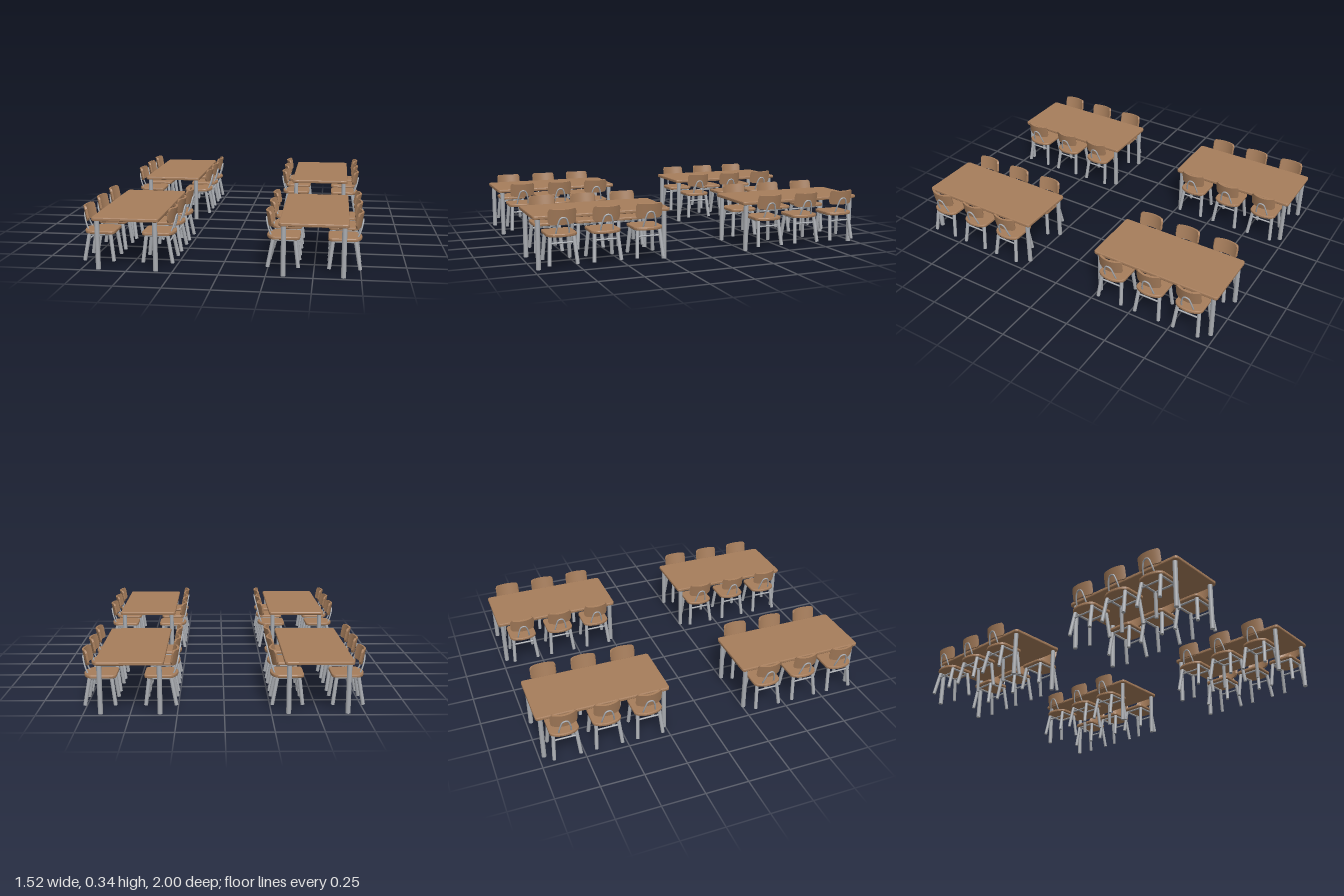
import * as THREE from 'three';

const wood = new THREE.MeshStandardMaterial({ color: 0xa67d5b });
wood.name = 'wood';
const metal = new THREE.MeshStandardMaterial({ color: 0xa8abb0 });
metal.name = 'metal';

function mesh(name, geometry, material) {
  const m = new THREE.Mesh(geometry, material);
  m.name = name;
  return m;
}

// straight round bar between two points
function bar(name, a, b, r) {
  const p = new THREE.Vector3(...a), q = new THREE.Vector3(...b);
  const d = q.clone().sub(p);
  const m = mesh(name, new THREE.CylinderGeometry(r, r, d.length(), 14), metal);
  m.position.copy(p).add(q).multiplyScalar(0.5);
  m.quaternion.setFromUnitVectors(new THREE.Vector3(0, 1, 0), d.normalize());
  return m;
}

// smooth bent tube through points
function tube(name, points, r) {
  const curve = new THREE.CatmullRomCurve3(points.map(p => new THREE.Vector3(...p)));
  return mesh(name, new THREE.TubeGeometry(curve, 28, r, 8), metal);
}

// horizontal plate with a softened rim, from an outline in x and z
function plate(name, shape, bottom, top, bevel) {
  const g = new THREE.ExtrudeGeometry(shape, {
    depth: top - bottom - 2 * bevel, bevelThickness: bevel, bevelSize: bevel,
    bevelOffset: -bevel, bevelSegments: 2, curveSegments: 10,
  });
  g.rotateX(-Math.PI / 2);
  g.translate(0, bottom + bevel, 0);
  return mesh(name, g, wood);
}

function tableOutline(hx, hz, r) {
  const s = new THREE.Shape();
  s.moveTo(-hx + r, -hz);
  s.lineTo(hx - r, -hz);
  s.quadraticCurveTo(hx, -hz, hx, -hz + r);
  s.lineTo(hx, hz - r);
  s.quadraticCurveTo(hx, hz, hx - r, hz);
  s.lineTo(-hx + r, hz);
  s.quadraticCurveTo(-hx, hz, -hx, hz - r);
  s.lineTo(-hx, -hz + r);
  s.quadraticCurveTo(-hx, -hz, -hx + r, -hz);
  return s;
}

// seat outline: bowed rear edge at -x, rounded front corners at +x
function seatOutline() {
  const s = new THREE.Shape();
  s.moveTo(-0.045, -0.083);
  s.lineTo(0.065, -0.083);
  s.quadraticCurveTo(0.0895, -0.083, 0.0895, -0.055);
  s.lineTo(0.0895, 0.055);
  s.quadraticCurveTo(0.0895, 0.083, 0.065, 0.083);
  s.lineTo(-0.045, 0.083);
  s.bezierCurveTo(-0.075, 0.08, -0.0895, 0.035, -0.0895, 0);
  s.bezierCurveTo(-0.0895, -0.035, -0.075, -0.08, -0.045, -0.083);
  return s;
}

// backrest: a plate with rounded corners, bent round an upright axis and tilted
function backrest() {
  const R = 0.1215, half = 0.078, h = 0.083, corner = 0.016;
  const g = new THREE.BoxGeometry(0.012, h, half * 2, 1, 4, 28);
  const p = g.attributes.position;
  for (let i = 0; i < p.count; i++) {
    const x = p.getX(i), z = p.getZ(i);
    const over = Math.max(0, Math.abs(z) - half + corner);
    const cut = corner - Math.sqrt(Math.max(0, corner * corner - over * over));
    const y = p.getY(i) * (1 - cut / (h / 2));
    p.setXYZ(i, R - (R - x) * Math.cos(z / R), y, (R - x) * Math.sin(z / R));
  }
  g.computeVertexNormals();
  const m = mesh('backrest', g, wood);
  m.rotation.z = 0.176;
  m.position.set(-0.0835, 0.291, 0);
  return m;
}

// chair facing +x
function makeChair() {
  const chair = new THREE.Group();
  chair.name = 'chair';
  chair.add(plate('seat', seatOutline(), 0.185, 0.203, 0.005), backrest());
  for (const s of [-1, 1]) {
    chair.add(bar('rearLeg', [-0.053, 0.188, s * 0.064], [-0.081, 0.035, s * 0.076], 0.0105));
    chair.add(bar('frontLeg', [0.063, 0.188, s * 0.064], [0.082, 0.035, s * 0.076], 0.0105));
    chair.add(bar('sideRail', [-0.053, 0.181, s * 0.064], [0.063, 0.181, s * 0.064], 0.006));
  }
  chair.add(bar('rearStretcher', [-0.06, 0.15, -0.067], [-0.06, 0.15, 0.067], 0.005));
  chair.add(bar('frontRail', [0.063, 0.181, -0.064], [0.063, 0.181, 0.064], 0.006));
  // hoop carrying the backrest
  chair.add(tube('backSupport', [
    [-0.062, 0.19, -0.036], [-0.075, 0.22, -0.034], [-0.086, 0.255, -0.027],
    [-0.092, 0.283, -0.016], [-0.094, 0.29, 0], [-0.092, 0.283, 0.016],
    [-0.086, 0.255, 0.027], [-0.075, 0.22, 0.034], [-0.062, 0.19, 0.036],
  ], 0.0045));
  return chair;
}

function makeTable() {
  const table = new THREE.Group();
  table.name = 'table';
  table.add(plate('tableTop', tableOutline(0.183, 0.386, 0.02), 0.272, 0.292, 0.005));
  for (const x of [-0.158, 0.158])
    for (const z of [-0.357, 0.357])
      table.add(bar('tableLeg', [x, 0, z], [x, 0.274, z], 0.0135));
  return table;
}

export function createModel() {
  const model = new THREE.Group();
  model.name = 'diningTables';
  // one table with three chairs along each long side
  const set = new THREE.Group();
  set.name = 'tableSet';
  set.add(makeTable());
  const chair = makeChair();
  for (const side of [-1, 1])
    for (const row of [-1, 0, 1]) {
      const c = chair.clone();
      c.position.set(side * 0.163, 0, row * 0.242);
      c.rotation.y = side < 0 ? 0 : Math.PI;
      set.add(c);
    }
  for (const x of [-0.5, 0.5])
    for (const z of [-0.614, 0.614]) {
      const s = set.clone();
      s.position.set(x, 0, z);
      model.add(s);
    }
  return model;
}
